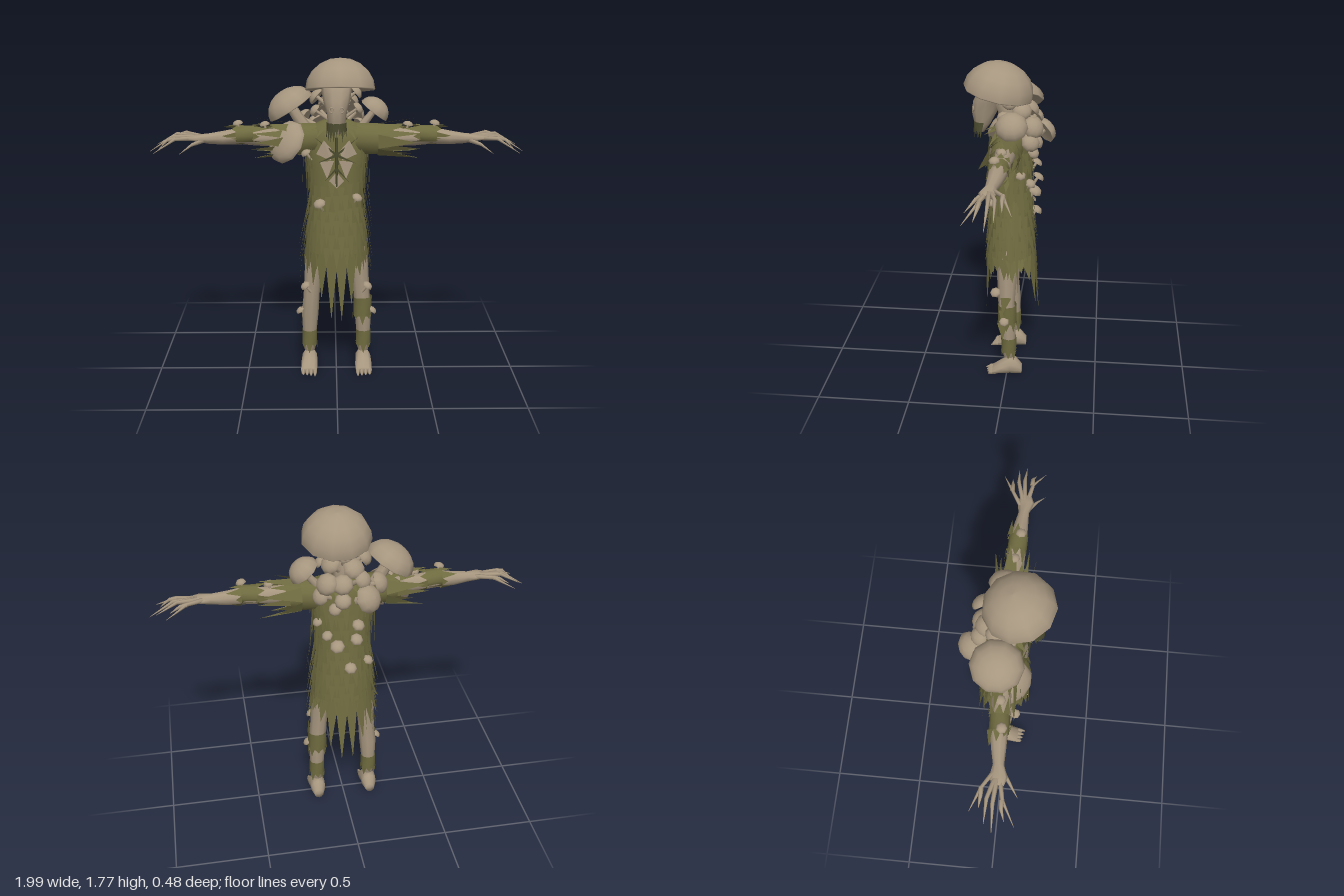
import * as THREE from 'three';

const V = (x, y, z) => new THREE.Vector3(x, y, z);
const skin = new THREE.MeshStandardMaterial({ color: 0xa6967f, side: THREE.DoubleSide });
skin.name = 'pale bark';
const moss = new THREE.MeshStandardMaterial({ color: 0x6f6b40, side: THREE.DoubleSide });
moss.name = 'moss';
const darkMoss = new THREE.MeshStandardMaterial({ color: 0x4b4a2e, side: THREE.DoubleSide });
darkMoss.name = 'dark moss';

let seed = 7;
const rnd = () => (seed = (seed * 16807) % 2147483647) / 2147483647;

export function createModel() {
  const root = new THREE.Group();
  root.name = 'mushroomCreature';

  const add = (name, geo, mat, parent = root) => {
    const m = new THREE.Mesh(geo, mat);
    m.name = name;
    parent.add(m);
    return m;
  };

  // Elliptical cross-sections [x, y, z, r1, r2] joined along one axis
  const loftGeo = (rings, axis = 'y', sides = 10, closed = true) => {
    const k = 'xyz'.indexOf(axis), cosAxis = [2, 0, 1][k], sinAxis = [1, 2, 0][k];
    const pos = [], idx = [], n = rings.length;
    for (const r of rings) {
      for (let j = 0; j < sides; j++) {
        const a = (j / sides) * Math.PI * 2, p = r.slice(0, 3);
        p[cosAxis] += Math.cos(a) * r[3];
        p[sinAxis] += Math.sin(a) * (r[4] ?? r[3]);
        pos.push(...p);
      }
    }
    const flip = rings[n - 1][k] < rings[0][k];
    const tri = (a, b, c) => (flip ? idx.push(a, c, b) : idx.push(a, b, c));
    for (let i = 0; i < n - 1; i++) for (let j = 0; j < sides; j++) {
      const a = i * sides + j, d = i * sides + (j + 1) % sides;
      tri(a, a + sides, d);
      tri(a + sides, d + sides, d);
    }
    if (closed) {
      pos.push(...rings[0].slice(0, 3), ...rings[n - 1].slice(0, 3));
      for (let j = 0; j < sides; j++) {
        const j2 = (j + 1) % sides, top = (n - 1) * sides;
        tri(n * sides, j, j2);
        tri(n * sides + 1, top + j2, top + j);
      }
    }
    const g = new THREE.BufferGeometry();
    g.setAttribute('position', new THREE.Float32BufferAttribute(pos, 3));
    g.setIndex(idx);
    g.computeVertexNormals();
    return g;
  };
  const loft = (name, mat, rings, axis, sides, closed) => add(name, loftGeo(rings, axis, sides, closed), mat);

  // Loose triangles: each is three points
  const facets = (name, mat, tris) => {
    const g = new THREE.BufferGeometry().setFromPoints(tris.flat());
    g.computeVertexNormals();
    return add(name, g, mat);
  };
  const blade = (base, side, w, tip) =>
    [base.clone().addScaledVector(side, -w), tip, base.clone().addScaledVector(side, w)];

  // Mushroom with a domed cap, hollow underside and stem
  const mushroom = (name, [x, y, z], dir, r, h = r * 0.75, stem = r * 1.2, sides = 9) => {
    const g = new THREE.Group();
    g.name = name;
    g.position.set(x, y, z);
    g.quaternion.setFromUnitVectors(V(0, 1, 0), V(...dir).normalize());
    const dome = [[0.001, h * 0.12], [r * 0.6, h * 0.1], [r * 0.97, -h * 0.04], [r, 0]];
    for (let i = 1; i <= 5; i++) {
      const a = (i / 5) * Math.PI / 2;
      dome.push([Math.max(r * Math.cos(a), 0.0005), h * Math.sin(a)]);
    }
    add('cap', new THREE.LatheGeometry(dome.map(p => new THREE.Vector2(...p)), sides), skin, g);
    const s = add('stem', new THREE.CylinderGeometry(r * 0.2, r * 0.28, stem, 7), skin, g);
    s.position.y = h * 0.1 - stem / 2;
    root.add(g);
  };

  // Moss robe
  const profile = [[0.68, 0.17, 0.13], [0.82, 0.165, 0.125], [1.0, 0.142, 0.112], [1.2, 0.158, 0.112],
    [1.34, 0.175, 0.1], [1.4, 0.15, 0.08], [1.44, 0.06, 0.05]];
  loft('robe', moss, profile.map(([y, a, b]) => [0, y, -0.01, a, b]), 'y', 18, false);
  const onRobe = (a, y, out = 0) => {
    let i = 0;
    while (i < profile.length - 2 && y > profile[i + 1][0]) i++;
    const [p, q] = [profile[i], profile[i + 1]], t = Math.max(0, (y - p[0]) / (q[0] - p[0]));
    return V(Math.sin(a) * (p[1] + (q[1] - p[1]) * t + out), y, Math.cos(a) * (p[2] + (q[2] - p[2]) * t + out) - 0.01);
  };
  const along = a => V(Math.cos(a), 0, -Math.sin(a));

  // Overlapping tufts over the robe
  const tufts = [];
  for (let row = 0; row < 9; row++) for (let j = 0; j < 20; j++) {
    const a = ((j + (row % 2) / 2) / 20) * Math.PI * 2, y = 1.3 - row * 0.07 + rnd() * 0.03;
    if (y > 1.12 && Math.cos(a) > 0.6) continue;
    tufts.push(blade(onRobe(a, y, 0.002), along(a), 0.02, onRobe(a, y - 0.1 - rnd() * 0.05, 0.016)));
  }
  facets('robeTufts', moss, tufts);

  // Ragged hem, long at front and back
  const hem = [];
  for (let j = 0; j < 20; j++) {
    const a = ((j + 0.5) / 20) * Math.PI * 2, c = Math.abs(Math.cos(a));
    const tipY = 0.6 - 0.27 * c ** 4 + (j % 4 > 1 ? 0.06 : 0) * (1 - c ** 8);
    hem.push(blade(onRobe(a, 0.72, 0.002), along(a), 0.036, onRobe(a, tipY, 0.012 + (Math.cos(a) < 0 ? 0.02 : 0))));
  }
  facets('robeHem', moss, hem);

  // Thin strands hanging at sides and back
  const strands = [];
  for (let j = 0; j < 26; j++) {
    const s = j % 2 ? 1 : -1, a = s * (1.35 + rnd() * 1.3), y = 1.3 - rnd() * 0.5;
    strands.push(blade(onRobe(a, y, 0.01), along(a), 0.012, onRobe(a, y - 0.22 - rnd() * 0.14, 0.04)));
  }
  facets('hangingStrands', moss, strands);

  // Bare chest patches, mirrored, with vines across them
  const onChest = (x, y) => onRobe(Math.asin(x / 0.165), y, 0.011);
  const patches = [], ribs = [];
  for (const s of [1, -1]) {
    const P = pts => pts.map(([x, y]) => onChest(x * s, y));
    const [a, b, c, d] = P([[0.015, 1.29], [0.06, 1.345], [0.1, 1.27], [0.03, 1.24]]);
    patches.push([a, d, b], [d, c, b]);
    const [e, f, g] = P([[0.012, 1.24], [0.085, 1.23], [0.05, 1.14]]);
    patches.push([e, g, f]);
    patches.push(P([[0, 1.18], [0, 1.09], [0.04, 1.13]]));
    for (const [x, y, y2] of [[0.11, 1.36, 1.27], [0.1, 1.22, 1.27], [0.07, 1.12, 1.2]]) {
      const from = onRobe(Math.asin(x * s / 0.17), y, 0.016), to = onRobe(0, y2, 0.018);
      ribs.push(blade(to, V(0, 1, 0), 0.009, from));
    }
  }
  facets('chestPatches', skin, patches);
  facets('chestVines', darkMoss, ribs);
  loft('chestStem', darkMoss, [[0, 1.1, 0.112, 0.004], [0, 1.22, 0.112, 0.009], [0, 1.36, 0.1, 0.008]], 'y', 6);

  // Neck, head, beard and collar
  loft('neck', skin, [[0, 1.36, 0, 0.05], [0, 1.5, 0.01, 0.05], [0, 1.62, 0.05, 0.07]], 'y', 8);
  loft('face', skin, [[0, 1.39, 0.15, 0.02, 0.018], [0, 1.44, 0.14, 0.045, 0.045], [0, 1.5, 0.13, 0.052, 0.068],
    [0, 1.56, 0.115, 0.07, 0.075], [0, 1.61, 0.095, 0.078, 0.07], [0, 1.66, 0.08, 0.07, 0.07]], 'y', 10);
  for (const s of [1, -1]) {
    const eye = add('eyeRim', new THREE.TorusGeometry(0.013, 0.004, 5, 10), skin);
    eye.position.set(0.025 * s, 1.52, 0.186);
    eye.rotation.y = 0.3 * s;
  }
  const beard = [], collar = [];
  for (let j = 0; j < 11; j++) {
    const a = -1.5 + j * 0.3, b = V(Math.sin(a) * 0.05, 1.45, 0.14 + Math.cos(a) * 0.045);
    beard.push(blade(b, along(a), 0.014, V(b.x * 1.1, 1.35 + rnd() * 0.04, b.z + 0.004)));
  }
  for (let j = 0; j < 16; j++) {
    const a = (j / 16) * Math.PI * 2;
    collar.push(blade(V(Math.sin(a) * 0.08, 1.42, Math.cos(a) * 0.06), along(a), 0.025,
      V(Math.sin(a) * 0.15, 1.34 + rnd() * 0.06, Math.cos(a) * 0.14)));
  }
  facets('beard', darkMoss, beard);
  facets('collar', moss, collar);

  // Great head cap
  mushroom('headCap', [0.02, 1.61, 0.055], [0, 0.977, -0.21], 0.185, 0.16, 0.06, 11);

  // Shoulder and back mushrooms
  mushroom('shoulderMushroom', [-0.24, 1.5, -0.03], [-0.54, 0.84, 0], 0.135, 0.1, 0.17, 10);
  mushroom('shoulderMushroom', [-0.26, 1.325, 0.04], [-0.6, 0.45, 0.55], 0.12, 0.06, 0.12, 10);
  mushroom('shoulderMushroom', [0.2, 1.48, -0.03], [0.6, 0.78, 0], 0.085, 0.07, 0.13, 10);
  for (const [x, y, z, r] of [[-0.1, 1.37, -0.17, 0.078], [0.1, 1.45, -0.13, 0.06], [0.02, 1.44, -0.13, 0.055],
    [-0.04, 1.51, -0.1, 0.06], [0.07, 1.53, -0.07, 0.055], [-0.1, 1.55, -0.05, 0.05], [0.13, 1.38, -0.12, 0.05],
    [-0.17, 1.42, -0.1, 0.06], [0.02, 1.35, -0.14, 0.045], [0.1, 1.58, -0.01, 0.04], [0, 1.57, -0.07, 0.045],
    [-0.08, 1.46, -0.13, 0.05], [0.06, 1.3, -0.13, 0.035], [0.11, 1.5, 0.02, 0.035], [-0.11, 1.49, 0.02, 0.035]])
    mushroom('backMushroom', [x, y, z], [x * 1.5, 0.12, Math.min(z, 0.01)], r, r * 0.75, 0.08);

  // Small mushrooms scattered on robe and limbs
  for (const [x, y, z, r] of [[-0.16, 1.27, 0.06, 0.03], [-0.09, 1.0, 0.1, 0.035], [0.11, 1.03, 0.085, 0.03],
    [-0.06, 1.2, -0.14, 0.035], [0.05, 1.08, -0.14, 0.04], [-0.05, 1.12, -0.15, 0.035], [0.1, 1.14, -0.12, 0.03],
    [-0.02, 0.94, -0.145, 0.035], [-0.12, 0.96, -0.11, 0.03], [0.14, 1.2, -0.07, 0.03],
    [0.17, 0.52, 0.06, 0.03], [-0.17, 0.52, 0.06, 0.03], [0.2, 0.355, 0.01, 0.028], [-0.2, 0.355, 0.01, 0.028]])
    mushroom('smallMushroom', [x, y, z], [x, 0.22, z], r, r * 0.7, 0.05, 7);

  for (const s of [1, -1]) {
    const mx = rings => rings.map(([x, ...r]) => [x * s, ...r]);
    // Ring of blades around a limb running along x
    const armBlades = (name, x0, y0, r, lens, n, dir, flare) => facets(name, moss, Array.from({ length: n }, (_, j) => {
      const a = (j / n) * Math.PI * 2, c = Math.cos(a), d = Math.sin(a), len = lens[j % lens.length];
      return blade(V(x0 * s, y0 + d * r, c * r), V(0, c, -d), r * 3.3 / n,
        V((x0 + dir * len) * s, y0 + d * r * flare, c * r * flare));
    }));

    // Arm, sleeve and forearm moss
    loft('arm', skin, mx([[0.12, 1.345, 0, 0.06], [0.3, 1.345, 0, 0.05], [0.42, 1.345, 0.005, 0.045], [0.5, 1.355, 0.005, 0.047],
      [0.6, 1.345, 0.012, 0.038], [0.68, 1.342, 0.02, 0.028], [0.74, 1.345, 0.025, 0.045, 0.018], [0.78, 1.345, 0.025, 0.03, 0.012]]), 'x', 9);
    loft('sleeve', moss, mx([[0.1, 1.335, -0.005, 0.08, 0.085], [0.2, 1.335, 0, 0.078, 0.085], [0.3, 1.335, 0, 0.07, 0.075]]), 'x', 12, false);
    armBlades('sleeveFringe', 0.28, 1.335, 0.075, [0.12, 0.17, 0.08, 0.15, 0.1], 12, 1, 1.1);
    armBlades('sleeveSpikes', 0.22, 1.335, 0.08, [0.2, 0.13, 0.22], 7, 1, 1.4);
    loft('forearmMoss', moss, mx([[0.44, 1.358, 0.005, 0.05], [0.53, 1.36, 0.007, 0.05]]), 'x', 10, false);
    armBlades('forearmMossFringe', 0.525, 1.36, 0.051, [0.08, 0.03, 0.06], 8, 1, 0.92);
    armBlades('forearmMossFringe', 0.445, 1.358, 0.051, [0.04, 0.09, 0.05], 8, -1, 1.1);
    mushroom('armMushroom', [0.38 * s, 1.41, 0], [0.2 * s, 1, 0], 0.028, 0.02, 0.05, 7);
    mushroom('armMushroom', [0.52 * s, 1.42, 0.02], [0.2 * s, 1, 0.1], 0.028, 0.02, 0.05, 7);

    // Branching twig fingers: base, joint, tip
    for (const [b, m, t] of [
      [[0.72, 1.35, 0], [0.8, 1.36, -0.05], [0.91, 1.31, -0.1]],
      [[0.75, 1.35, 0.01], [0.85, 1.36, -0.02], [0.96, 1.3, -0.025]],
      [[0.75, 1.35, 0.02], [0.87, 1.35, 0.01], [0.995, 1.27, 0.015]],
      [[0.75, 1.345, 0.035], [0.85, 1.345, 0.055], [0.96, 1.28, 0.12]],
      [[0.85, 1.345, 0.052], [0.89, 1.34, 0.052], [0.94, 1.29, 0.07]],
      [[0.8, 1.36, -0.05], [0.84, 1.35, -0.05], [0.89, 1.32, -0.055]],
      [[0.7, 1.335, 0.04], [0.76, 1.32, 0.08], [0.82, 1.28, 0.125]]])
      loft('finger', skin, mx([[...b, 0.013], [...m, 0.01], [...t, 0.001]]), 'x', 6);

    // Leg with moss bands
    loft('leg', skin, mx([[0.152, 0.11, -0.012, 0.03], [0.152, 0.2, -0.012, 0.038], [0.148, 0.34, -0.005, 0.048],
      [0.14, 0.45, 0.002, 0.046], [0.128, 0.6, 0, 0.05, 0.055], [0.11, 0.78, 0, 0.055, 0.06]]), 'y', 9);
    const bands = [[0.152, 0.15, 0.235, -0.012, 0.043]];
    if (s > 0) bands.push([0.146, 0.33, 0.44, -0.003, 0.053]);
    for (const [x, y0, y1, z, r] of bands) {
      loft('legMoss', moss, mx([[x, y0, z, r], [x, y1, z, r]]), 'y', 9, false);
      facets('legMossFringe', moss, Array.from({ length: 8 }, (_, j) => {
        const a = (j / 8) * Math.PI * 2, c = Math.cos(a) * r, d = Math.sin(a) * r;
        return blade(V(x * s + d, y0 + 0.005, z + c), along(a), 0.017, V(x * s + d, y0 - [0.05, 0.02, 0.04][j % 3], z + c));
      }));
    }
    facets('thighMoss', moss, [0.5, 0.42, 0.34].map((y, j) =>
      blade(V(s * 0.19, y, 0.01 * j), V(0, 0, 1), 0.03, V(s * 0.2, y - 0.1, 0.02))));

    // Foot and toes
    loft('foot', skin, mx([[0.152, 0.03, -0.085, 0.028, 0.025], [0.152, 0.05, -0.05, 0.05, 0.042], [0.152, 0.055, -0.02, 0.055, 0.044],
      [0.153, 0.038, 0.03, 0.038, 0.048], [0.155, 0.018, 0.08, 0.018, 0.047]]), 'z', 10);
    for (let j = 0; j < 4; j++) {
      const x = 0.121 + j * 0.022;
      loft('toe', skin, mx([[x, 0.02, 0.06, 0.016, 0.012], [x, 0.014, 0.095, 0.013, 0.011], [x, 0.005, 0.122 - j * 0.006, 0.003]]), 'z', 6);
    }
  }
  return root;
}
